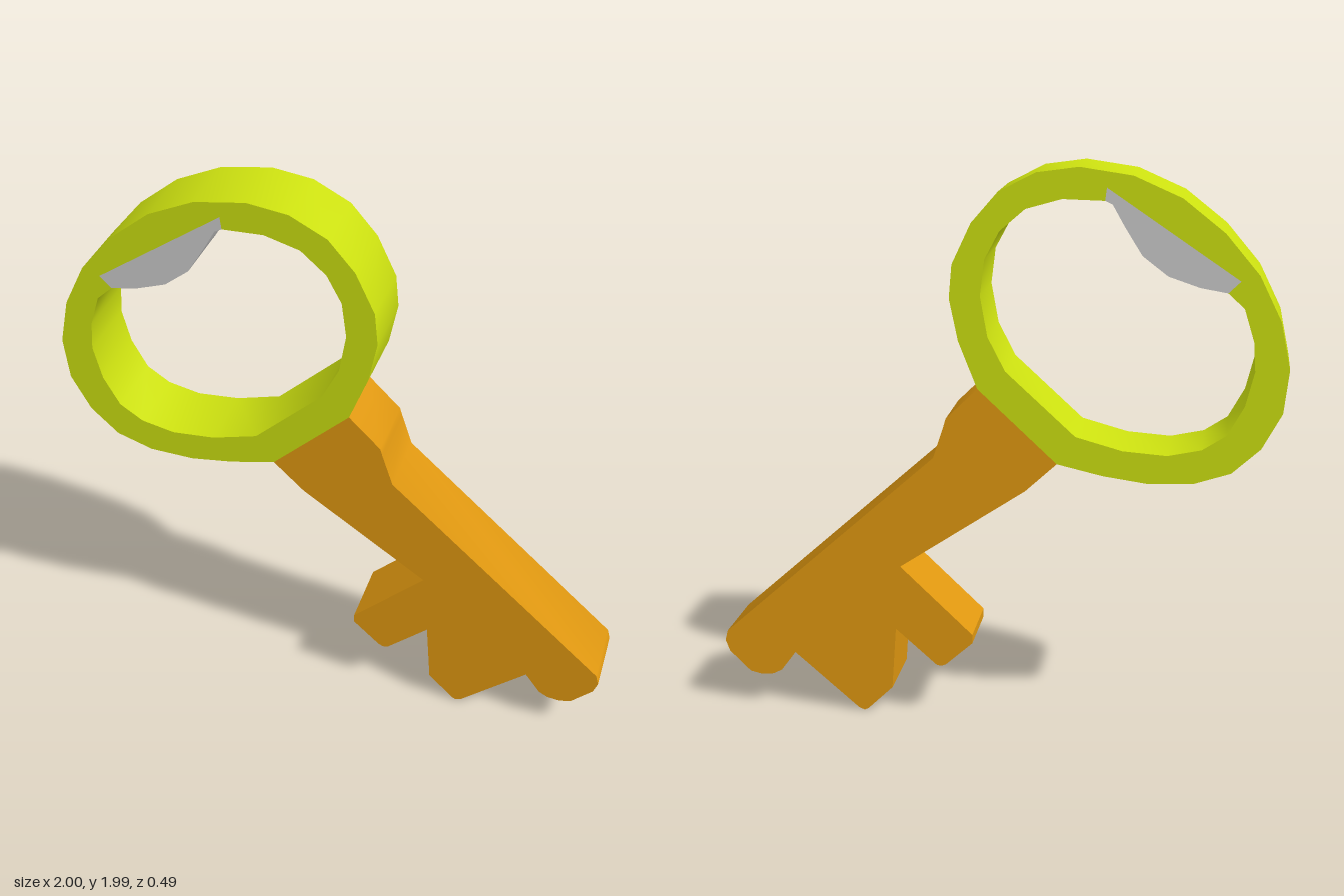
import * as THREE from 'three';
import { toCreasedNormals } from 'three/addons/utils/BufferGeometryUtils.js';

const THICKNESS = 0.248;
const YAW = -0.122; // the whole key is turned slightly about the vertical

// Outline points are given as seen straight on at the front face; undo the yaw.
const unturn = ([x, y]) =>
  new THREE.Vector2((x - Math.sin(YAW) * THICKNESS / 2) / Math.cos(YAW), y);

function slab(name, color, outline, hole) {
  const shape = new THREE.Shape(outline.map(unturn));
  if (hole) shape.holes.push(new THREE.Path(hole.map(unturn)));
  const geometry = new THREE.ExtrudeGeometry(shape, { depth: THICKNESS, bevelEnabled: false });
  geometry.translate(0, 0, -THICKNESS / 2);
  const mesh = new THREE.Mesh(
    toCreasedNormals(geometry, 0.6),
    new THREE.MeshStandardMaterial({ color })
  );
  mesh.name = name;
  return mesh;
}

export function createModel() {
  const key = new THREE.Group();
  key.name = 'bottleOpenerKey';

  // Ring handle, flattened where it meets the shaft and where the lip sits
  const ringOuter = [
    [0.035, 1.235], [0.10, 1.40], [0.13, 1.545], [0.12, 1.66], [0.055, 1.80],
    [-0.035, 1.905], [-0.16, 1.97], [-0.30, 1.99], [-0.475, 1.965], [-0.635, 1.895],
    [-0.775, 1.785], [-0.89, 1.65], [-0.965, 1.50], [-1.0, 1.34], [-0.985, 1.19],
    [-0.92, 1.065], [-0.825, 0.975], [-0.70, 0.932], [-0.545, 0.925], [-0.395, 0.945],
    [-0.238, 0.98],
  ];
  const ringInner = [
    [-0.30, 1.08], [-0.06, 1.30], [0, 1.417], [0.025, 1.556], [0.01, 1.68],
    [-0.04, 1.775], [-0.125, 1.85], [-0.245, 1.885], [-0.385, 1.882], [-0.39, 1.925],
    [-0.83, 1.63], [-0.79, 1.59], [-0.845, 1.54], [-0.88, 1.43], [-0.888, 1.33],
    [-0.86, 1.21], [-0.805, 1.107], [-0.725, 1.053], [-0.61, 1.027], [-0.46, 1.037],
  ];
  key.add(slab('ringHandle', 0xcce010, ringOuter, ringInner));

  // Curved lip inside the ring
  key.add(slab('openerLip', 0xcccccc, [
    [-0.39, 1.925], [-0.83, 1.63], [-0.825, 1.61], [-0.79, 1.59], [-0.70, 1.605],
    [-0.595, 1.64], [-0.51, 1.705], [-0.45, 1.80], [-0.41, 1.87], [-0.385, 1.882],
  ]));

  // Shaft with collar, rounded tip and teeth
  key.add(slab('shaftAndTeeth', 0xe09810, [
    [0.035, 1.235], [-0.238, 0.98], [-0.13, 0.877], [0.313, 0.572],
    // narrow tooth
    [0.056, 0.326], [0.056, 0.294], [0.152, 0.205], [0.168, 0.198], [0.185, 0.2],
    [0.333, 0.332],
    // wide tooth
    [0.35, 0.10], [0.44, 0.01], [0.455, 0.002], [0.475, 0.01], [0.708, 0.214],
    // rounded tip
    [0.762, 0.14], [0.794, 0.123], [0.837, 0.118], [0.88, 0.128], [0.955, 0.203],
    [0.97, 0.245], [0.96, 0.283],
    // collar step
    [0.19, 0.982], [0.152, 1.10], [0.145, 1.125],
  ]));

  key.rotation.y = YAW;
  const model = new THREE.Group();
  model.add(key);
  return model;
}
